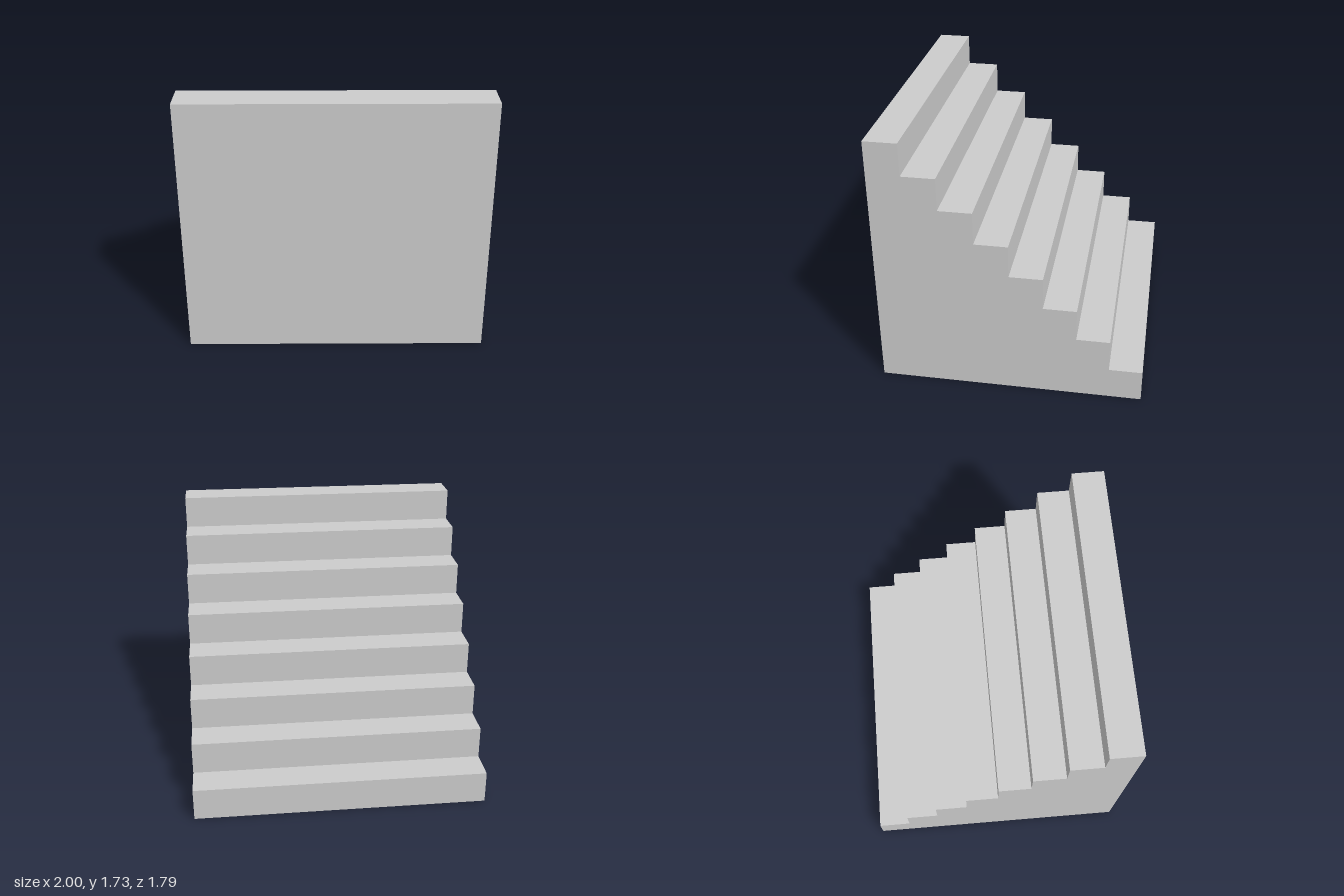
import * as THREE from 'three';

export function createModel() {
  const steps = 8, rise = 0.216, run = 0.216, width = 1.938;
  const depth = steps * run;

  // Side profile: climbs from the back to the tall flat front
  const profile = new THREE.Shape();
  profile.moveTo(depth / 2, 0);
  for (let i = steps; i > 0; i--) {
    const y = i * rise;
    profile.lineTo(-depth / 2 + i * run, y);
    profile.lineTo(-depth / 2 + (i - 1) * run, y);
  }
  profile.lineTo(-depth / 2, 0);
  profile.closePath();

  // Sweep the profile across the width of the stairs
  const geometry = new THREE.ExtrudeGeometry(profile, { depth: width, bevelEnabled: false });
  geometry.translate(0, 0, -width / 2);
  geometry.rotateY(-Math.PI / 2);

  const stairs = new THREE.Mesh(
    geometry,
    new THREE.MeshStandardMaterial({ color: 0xcccccc, flatShading: true })
  );
  stairs.name = 'stairs';
  stairs.rotation.y = 0.0346; // slight turn about the vertical

  const group = new THREE.Group();
  group.name = 'staircase';
  group.add(stairs);
  return group;
}
